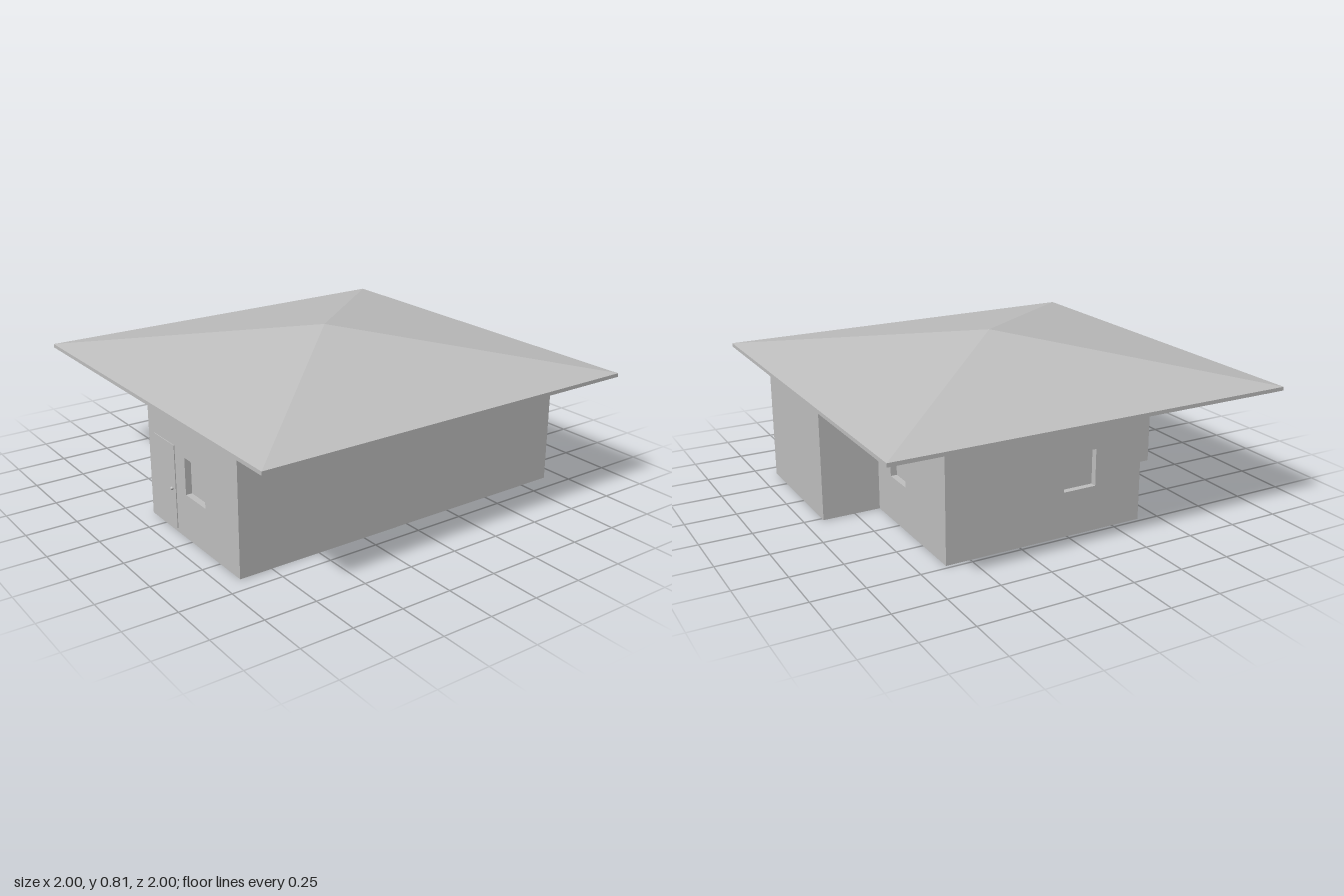
import * as THREE from 'three';

const WALL_HEIGHT = 0.625;
const DEPTH = 0.04;
const WINDOW_Y = [0.22, 0.4];

// Walls run around the footprint; windows are spans measured along each wall
const WALLS = [
  { name: 'frontWall', from: [-0.13, 0.91], windows: [[0.34, 0.515]], door: [0.06, 0.25] },
  { name: 'leftWall', from: [0.665, 0.91] },
  { name: 'backWall', from: [0.665, -0.91] },
  { name: 'backNotchSide', from: [-0.02, -0.91] },
  { name: 'backNotchWall', from: [-0.02, -0.62], windows: [[0.145, 0.31]] },
  { name: 'rightWall', from: [-0.73, -0.62], windows: [[0.6, 0.77]] },
  { name: 'frontNotchWall', from: [-0.73, 0.4], windows: [[0.2, 0.45]] },
  { name: 'frontNotchSide', from: [-0.13, 0.4] },
];

export function createModel() {
  const model = new THREE.Group();
  const grey = new THREE.MeshStandardMaterial({ color: 0xbfbfbf, flatShading: true });
  grey.name = 'plainGrey';

  const add = (parent, name, geometry, x = 0, y = 0, z = 0) => {
    const mesh = new THREE.Mesh(geometry, grey);
    mesh.name = name;
    mesh.position.set(x, y, z);
    parent.add(mesh);
    return mesh;
  };

  const rectangle = (Type, x0, x1, y0, y1) => new Type([
    new THREE.Vector2(x0, y0), new THREE.Vector2(x1, y0),
    new THREE.Vector2(x1, y1), new THREE.Vector2(x0, y1),
  ]);

  // Each wall faces its own local +z, with recessed window openings
  WALLS.forEach(({ name, from, windows = [], door }, i) => {
    const to = WALLS[(i + 1) % WALLS.length].from;
    const dx = to[0] - from[0], dz = to[1] - from[1];
    const group = new THREE.Group();
    group.name = name;
    group.position.set(from[0], 0, from[1]);
    group.rotation.y = Math.atan2(-dz, dx);
    model.add(group);

    const panel = rectangle(THREE.Shape, 0, Math.hypot(dx, dz), 0, WALL_HEIGHT);
    for (const [x0, x1] of windows) {
      panel.holes.push(rectangle(THREE.Path, x0, x1, ...WINDOW_Y));
      add(group, 'windowPane', new THREE.BoxGeometry(x1 - x0 + 0.02, 0.2, 0.01),
        (x0 + x1) / 2, (WINDOW_Y[0] + WINDOW_Y[1]) / 2, -DEPTH + 0.004);
    }
    add(group, 'wallPanel',
      new THREE.ExtrudeGeometry(panel, { depth: DEPTH, bevelEnabled: false }), 0, 0, -DEPTH);

    // Door leaf with a small knob
    if (door) {
      const [x0, x1] = door;
      add(group, 'door', new THREE.BoxGeometry(x1 - x0, 0.41, 0.008), (x0 + x1) / 2, 0.225, 0);
      add(group, 'doorKnob', new THREE.SphereGeometry(0.008, 8, 6), x1 - 0.03, 0.21, 0.008);
    }
  });

  // Floor, facing down
  const outline = new THREE.Shape(WALLS.map(({ from: [x, z] }) => new THREE.Vector2(x, z)));
  add(model, 'floor', new THREE.ShapeGeometry(outline)).rotation.x = Math.PI / 2;

  // Hipped roof shell: underside, eave edge and top slopes
  const corner = Math.SQRT2;
  const profile = [[0, 0.797], [corner, 0.622], [corner, 0.64], [0, 0.815]]
    .map(([r, y]) => new THREE.Vector2(r, y));
  add(model, 'roof', new THREE.LatheGeometry(profile, 4, Math.PI / 4));

  return model;
}
